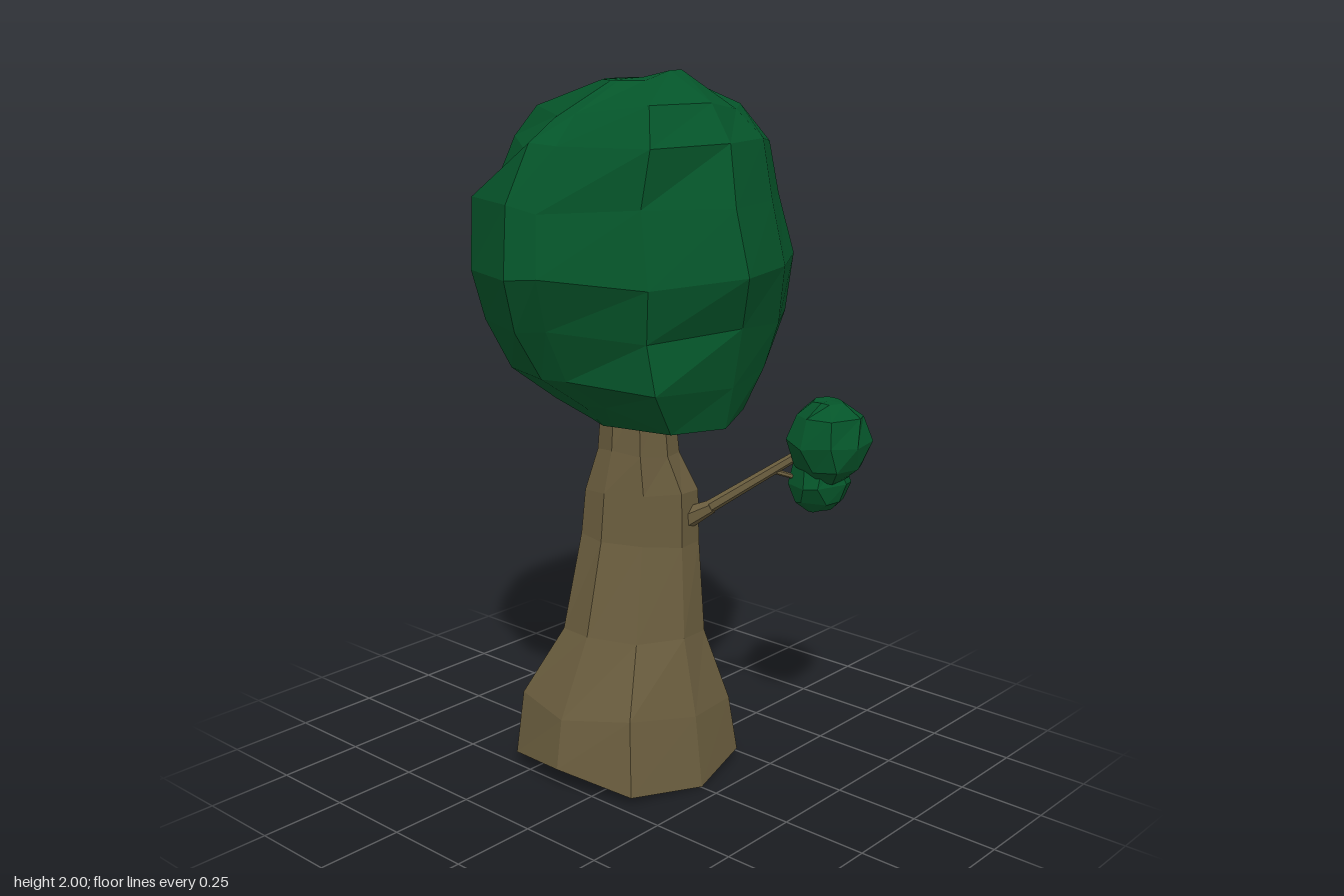
import * as THREE from 'three';

const leafMat = new THREE.MeshStandardMaterial({ color: 0x05552a, flatShading: true });
const barkMat = new THREE.MeshStandardMaterial({ color: 0x6a5d3e, flatShading: true });

// Small seeded random in -1..1
function seeded(seed) {
  let s = seed;
  return () => {
    s = (s * 16807) % 2147483647;
    return (s / 2147483647) * 2 - 1;
  };
}

// Closed, faceted skin over a stack of rings (each an array of Vector3)
function skin(rings) {
  const pos = [];
  const tri = (...pts) => pts.forEach((p) => pos.push(p.x, p.y, p.z));
  const n = rings[0].length;
  const middle = (ring) => ring.reduce((m, p) => m.add(p), new THREE.Vector3()).divideScalar(n);
  const first = rings[0], last = rings[rings.length - 1];
  const bottom = middle(first), top = middle(last);
  for (let j = 0; j < n; j++) {
    const k = (j + 1) % n;
    for (let i = 0; i < rings.length - 1; i++) {
      const a = rings[i][j], b = rings[i][k], c = rings[i + 1][j], d = rings[i + 1][k];
      tri(a, c, b);
      tri(b, c, d);
    }
    tri(bottom, first[j], first[k]);
    tri(top, last[k], last[j]);
  }
  const geo = new THREE.BufferGeometry();
  geo.setAttribute('position', new THREE.Float32BufferAttribute(pos, 3));
  geo.computeVertexNormals();
  return geo;
}

function add(group, name, geo, mat) {
  const mesh = new THREE.Mesh(geo, mat);
  mesh.name = name;
  group.add(mesh);
  return mesh;
}

// Large irregular crown: one plan outline fitted to a box at each level
function crownGeometry() {
  const outline = [[0.39, 0.05], [0.25, 0.28], [0.01, 0.44], [-0.08, 0.47], [-0.34, 0.34], [-0.5, 0.12],
    [-0.495, -0.165], [-0.34, -0.405], [-0.06, -0.475], [0.21, -0.385], [0.34, -0.18]];
  const { mapLinear } = THREE.MathUtils;
  // y, xMin, xMax, zMin, zMax
  const levels = [
    [1.05, -0.19, 0.09, -0.15, 0.13],
    [1.11, -0.33, 0.27, -0.27, 0.21],
    [1.2, -0.45, 0.3, -0.4, 0.33],
    [1.34, -0.495, 0.33, -0.48, 0.41],
    [1.49, -0.495, 0.385, -0.45, 0.47],
    [1.67, -0.495, 0.34, -0.41, 0.44],
    [1.82, -0.43, 0.3, -0.39, 0.365],
    [1.91, -0.36, 0.23, -0.3, 0.28],
    [1.975, -0.13, 0.08, -0.12, 0.12],
  ];
  const rings = levels.map(([y, x0, x1, z0, z1]) => outline.map(([x, z]) => new THREE.Vector3(
    mapLinear(x, -0.5, 0.39, x0, x1), y, mapLinear(z, -0.475, 0.47, z0, z1))));
  const rnd = seeded(41);
  rings.slice(1, 8).forEach((ring) => ring.forEach((p) => {
    const s = 1 + 0.015 * rnd();
    p.x = -0.05 + (p.x + 0.05) * s;
    p.z *= s;
    p.y += 0.015 * rnd();
  }));
  // Bulges and hollows: ring, corner, dx, dy, dz
  [
    [1, 0, 0, -0.035, 0], [1, 1, 0.04, -0.04, 0.05], // low front-left corner
    [2, 1, 0.07, 0, 0.08], [3, 1, 0.02, 0, 0.03],
    [6, 1, 0.04, 0, 0.04], [7, 1, 0.04, 0, 0.04], // full shoulder
    [6, 4, 0.04, -0.02, -0.04], [7, 4, 0.05, -0.02, -0.05], [7, 3, 0, -0.03, 0], // hollow shoulder
    [1, 6, -0.03, 0, 0],
    [8, 0, 0, 0.025, 0], [8, 10, 0, 0.025, 0], // peak
  ].forEach(([i, j, x, y, z]) => rings[i][j].add(new THREE.Vector3(x, y, z)));
  return skin(rings);
}

// Flared trunk, longer along its back-left diagonal, with an uneven foot
function trunkGeometry() {
  // y, centre x, centre z, long radius, short radius
  const levels = [
    [0.04, -0.073, 0.022, 0.325, 0.27],
    [0.22, -0.073, 0.024, 0.3, 0.23],
    [0.43, -0.053, 0.012, 0.203, 0.138],
    [0.7, -0.053, -0.015, 0.168, 0.1],
    [0.83, -0.05, -0.018, 0.16, 0.095],
    [0.95, -0.06, -0.016, 0.115, 0.095],
    [1.12, -0.065, -0.017, 0.1, 0.092],
  ];
  const rings = levels.map(([y, cx, cz, a, b], i) => Array.from({ length: 8 }, (_, j) => {
    const t = (j * Math.PI) / 4, f = (j % 2 ? (i < 2 ? 0.9 : 0.96) : 1) * Math.SQRT1_2;
    const u = a * f * Math.cos(t), v = b * f * Math.sin(t);
    return new THREE.Vector3(cx + u + v, y, cz - u + v);
  }));
  const foot = [0.035, 0, 0.02, 0.065, 0.04, 0.06, 0.035, 0.05];
  rings[0].forEach((p, j) => { p.y = foot[j]; });
  const rnd = seeded(9);
  rings.slice(1, 6).forEach((ring) => ring.forEach((p) => { p.y += 0.02 * rnd(); }));
  return skin(rings);
}

// Small leaf ball made of uneven rings
function leafBallGeometry(r, seed) {
  const rnd = seeded(seed);
  const rings = [0.12, 0.3, 0.5, 0.7, 0.88].map((t) => Array.from({ length: 8 }, (_, j) => {
    const a = (j / 8) * Math.PI * 2 + 0.2 * rnd();
    const polar = Math.PI * (1 - t) + 0.08 * rnd();
    return new THREE.Vector3().setFromSphericalCoords(r * (1 + 0.05 * rnd()), polar, Math.PI / 2 - a);
  }));
  return skin(rings);
}

// Tapered stick between two points
function stick(group, name, from, to, r0, r1) {
  const a = new THREE.Vector3(...from), b = new THREE.Vector3(...to);
  const dir = b.clone().sub(a);
  const mesh = add(group, name, new THREE.CylinderGeometry(r1, r0, dir.length(), 6), barkMat);
  mesh.position.copy(a).add(b).multiplyScalar(0.5);
  mesh.quaternion.setFromUnitVectors(new THREE.Vector3(0, 1, 0), dir.normalize());
}

export function createModel() {
  const tree = new THREE.Group();
  tree.name = 'tree';
  add(tree, 'trunk', trunkGeometry(), barkMat);
  add(tree, 'crown', crownGeometry(), leafMat);

  // Side branch with its twig and two leaf balls
  const branch = new THREE.Group();
  branch.name = 'sideBranch';
  tree.add(branch);
  stick(branch, 'branchCollar', [0.05, 0.755, -0.1], [0.115, 0.795, -0.13], 0.032, 0.02);
  stick(branch, 'branch', [0.09, 0.778, -0.115], [0.36, 0.995, -0.31], 0.019, 0.013);
  stick(branch, 'twig', [0.25, 0.905, -0.23], [0.34, 0.87, -0.31], 0.008, 0.006);
  add(branch, 'upperLeafBall', leafBallGeometry(0.122, 77), leafMat).position.set(0.376, 0.998, -0.32);
  add(branch, 'lowerLeafBall', leafBallGeometry(0.088, 23), leafMat).position.set(0.345, 0.872, -0.322);
  return tree;
}
